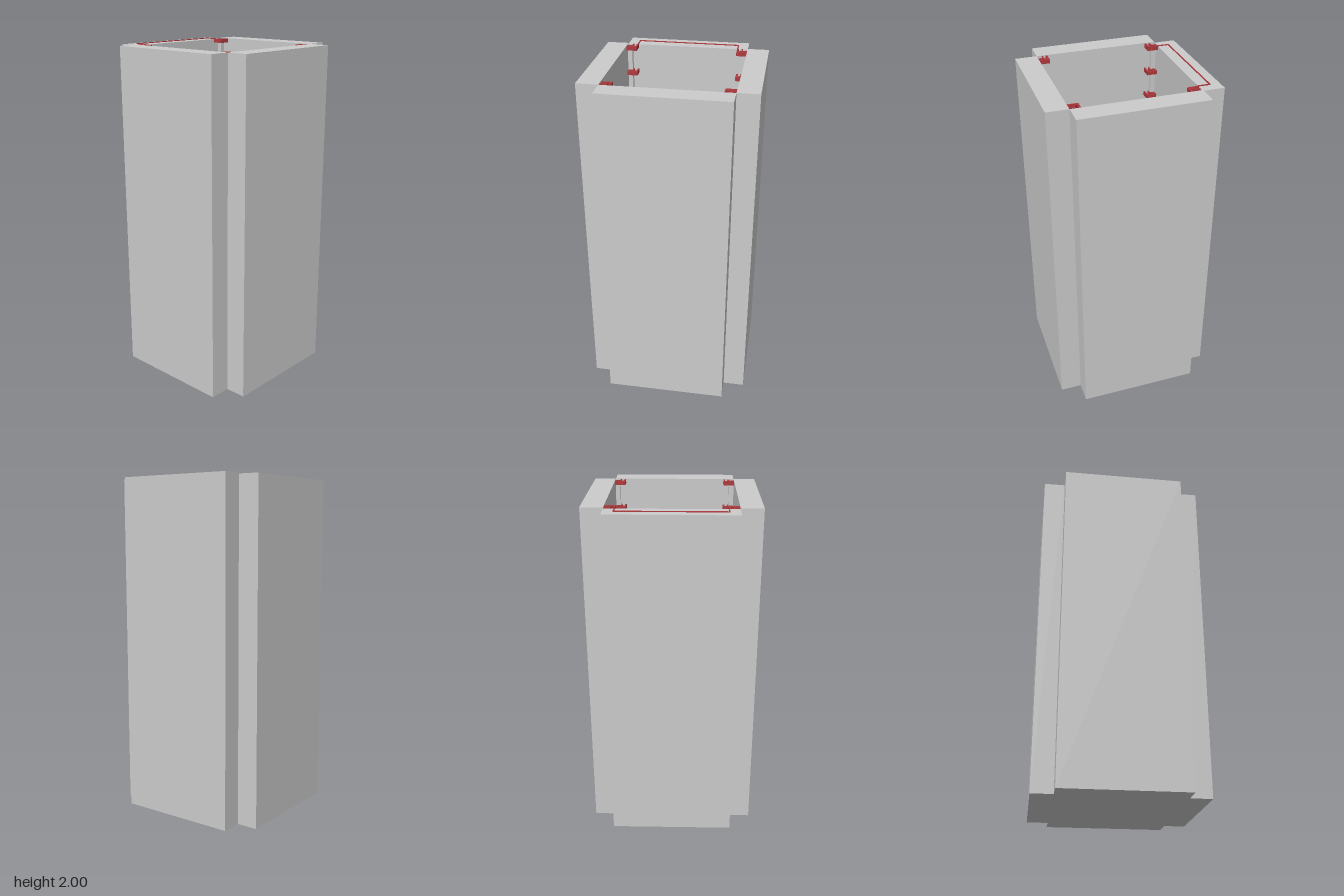
import * as THREE from 'three';

const grey = new THREE.MeshStandardMaterial({ color: 0xcccccc, flatShading: true });
const red = new THREE.MeshStandardMaterial({ color: 0xb03a3e, flatShading: true });

const INNER = 0.3635, OUTER = 0.49, HEIGHT = 2, BACK_TOP = 1.995;

// Box given by its lower and upper corners
function block(parent, name, material, [x0, y0, z0], [x1, y1, z1]) {
  const mesh = new THREE.Mesh(new THREE.BoxGeometry(x1 - x0, y1 - y0, z1 - z0), material);
  mesh.position.set((x0 + x1) / 2, (y0 + y1) / 2, (z0 + z1) / 2);
  mesh.name = name;
  parent.add(mesh);
  return mesh;
}

// Corner bracket: angle plate towards the room, forked rib behind it.
// Local origin is the wall corner, the room lies along +x and +z.
function bracket() {
  const g = new THREE.Group();
  g.name = 'cornerBracket';
  const h = 0.012, a = 0.053, b = 0.063, r0 = 0.03, r1 = 0.036;
  block(g, 'plateX', red, [0, -h, a], [b, h, b]);
  block(g, 'plateZ', red, [a, -h, 0], [b, h, a]);
  block(g, 'ribX', red, [0, -h, r0], [r1, h, r1]);
  block(g, 'ribZ', red, [r0, -h, 0], [r1, h, r0]);
  const web = new THREE.Mesh(new THREE.BoxGeometry(0.034, h * 2, 0.006), red);
  web.position.set(0.0445, 0, 0.0445);
  web.rotation.y = -Math.PI / 4;
  web.name = 'diagonalWeb';
  g.add(web);
  return g;
}

export function createModel() {
  const model = new THREE.Group();
  model.name = 'shaft';

  // Floor and four wall slabs that meet only along their corner edges
  block(model, 'floor', grey, [-INNER, 0, -INNER], [INNER, 0.01, INNER]);
  block(model, 'leftWall', grey, [INNER, 0, -INNER], [OUTER, HEIGHT, INNER]);
  block(model, 'rightWall', grey, [-OUTER, 0, -INNER], [-INNER, HEIGHT, INNER]);
  block(model, 'frontWall', grey, [-INNER, 0, INNER], [INNER, HEIGHT, OUTER]);
  block(model, 'backWall', grey, [-INNER, 0, -OUTER], [INNER, BACK_TOP, -INNER]);

  // Corner posts with a column of brackets, one corner per quarter turn
  for (let i = 0; i < 4; i++) {
    const turn = new THREE.Group();
    turn.name = 'corner';
    turn.rotation.y = i * Math.PI / 2;
    block(turn, 'cornerPost', grey, [-INNER, 0.01, -INNER], [-INNER + 0.028, 1.97, -INNER + 0.028]);
    for (let k = 0; k < 13; k++) {
      const b = bracket();
      b.position.set(-INNER, 1.985 - k * 0.155, -INNER);
      turn.add(b);
    }
    model.add(turn);
  }

  // Thin strip laid along the top of the back wall, turning in to the brackets
  const x = 0.306, z = -0.433, t = 0.006;
  block(model, 'topStrip', red, [-x, BACK_TOP, z], [x, HEIGHT, z + t]);
  for (const s of [-1, 1]) {
    const end = block(model, 'topStripEnd', red, [-t / 2, BACK_TOP, z + t], [t / 2, HEIGHT, -INNER + 0.01]);
    end.position.x = s * (x - t / 2);
  }
  return model;
}
